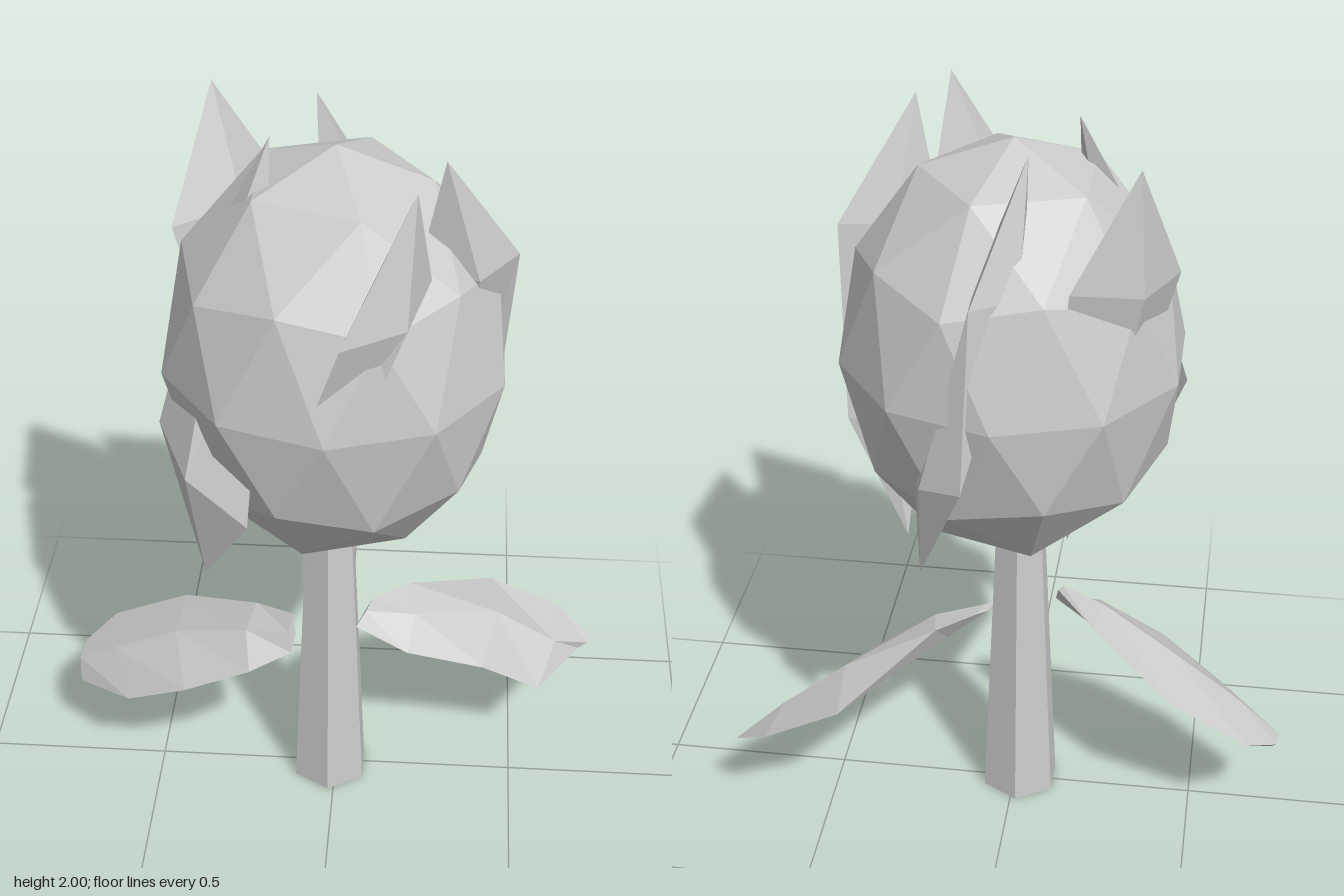
import * as THREE from 'three';

const material = new THREE.MeshStandardMaterial({ color: 0xcccccc, flatShading: true });

// Faceted blade through sections [centre, half width vector, half thickness].
// Each section is a four-cornered diamond across the blade's axis.
function blade(sections) {
  const centres = sections.map(([c]) => new THREE.Vector3(...c));
  const rings = sections.map(([, w, t], i) => {
    const axis = centres[Math.min(i + 1, centres.length - 1)].clone()
      .sub(centres[Math.max(i - 1, 0)]);
    const width = new THREE.Vector3(...w);
    const normal = axis.cross(width).setLength(t);
    return [width, normal, width.clone().negate(), normal.clone().negate()]
      .map((p) => p.add(centres[i]));
  });
  const positions = [];
  const tri = (a, b, c) => {
    const triangle = new THREE.Triangle(a, b, c);
    if (triangle.getArea() > 1e-7) for (const p of [a, b, c]) positions.push(p.x, p.y, p.z);
  };
  for (let i = 0; i < rings.length - 1; i++) {
    for (let j = 0; j < 4; j++) {
      const k = (j + 1) % 4;
      tri(rings[i][j], rings[i][k], rings[i + 1][k]);
      tri(rings[i][j], rings[i + 1][k], rings[i + 1][j]);
    }
  }
  // End caps
  const [a, b] = [rings[0], rings[rings.length - 1]];
  tri(a[0], a[2], a[1]);
  tri(a[0], a[3], a[2]);
  tri(b[0], b[1], b[2]);
  tri(b[0], b[2], b[3]);
  const geometry = new THREE.BufferGeometry();
  geometry.setAttribute('position', new THREE.Float32BufferAttribute(positions, 3));
  geometry.computeVertexNormals();
  return geometry;
}

export function createModel() {
  const group = new THREE.Group();
  const add = (name, geometry) => {
    const mesh = new THREE.Mesh(geometry, material);
    mesh.name = name;
    group.add(mesh);
    return mesh;
  };

  // Bud: faceted egg with a corner at each pole
  const bud = new THREE.IcosahedronGeometry(1, 1);
  bud.rotateX(-Math.atan((1 + Math.sqrt(5)) / 2));
  bud.rotateY(Math.PI / 2);
  bud.scale(0.44, 0.56, 0.44);
  add('bud', bud).position.y = 1.4;

  // Stem: tapered hexagonal column
  add('stem', new THREE.CylinderGeometry(0.068, 0.11, 0.9, 6)).position.set(-0.015, 0.45, 0.01);

  // Petals: pointed at both ends, partly sunk into the bud
  const none = [0, 0, 0];
  const petals = {
    frontPetal: [
      [[-0.06, 0.9, 0.12], none, 0],
      [[-0.01, 1.22, 0.34], [0.1, 0, -0.04], 0.05],
      [[0.135, 1.7, 0.33], [0.1, 0.04, -0.1], 0.07],
      [[0.2, 2, 0.31], none, 0],
    ],
    leftSidePetal: [
      [[0.26, 0.9, -0.13], none, 0],
      [[0.32, 1.22, -0.07], [0.09, 0, -0.03], 0.04],
      [[0.32, 1.7, 0.07], [0.12, 0, -0.05], 0.07],
      [[0.26, 2, 0.15], none, 0],
    ],
    backPetal: [
      [[0.2, 0.9, -0.29], none, 0],
      [[0.14, 1.2, -0.36], [-0.07, 0.03, -0.08], 0.05],
      [[0, 1.7, -0.29], [0.05, 0, -0.11], 0.06],
      [[-0.06, 2, -0.2], none, 0],
    ],
    backRightPetal: [
      [[-0.15, 0.9, -0.1], none, 0],
      [[-0.22, 1.3, -0.17], [0.09, 0, -0.09], 0.05],
      [[-0.29, 1.7, -0.21], [0.12, 0.02, -0.12], 0.07],
      [[-0.32, 2, -0.25], none, 0],
    ],
    rightSidePetal: [
      [[-0.31, 0.9, 0.28], none, 0],
      [[-0.31, 1.19, 0.26], [0.12, -0.07, 0.12], 0.06],
      [[-0.23, 1.7, 0.11], [0.08, 0, 0.05], 0.05],
      [[-0.15, 2, 0.05], none, 0],
    ],
  };
  for (const [name, sections] of Object.entries(petals)) add(name, blade(sections));

  // Leaves: broad drooping blades on either side of the stem
  add('leftLeaf', blade([
    [[0.08, 0.575, 0.02], [0.02, 0.01, -0.05], 0.01],
    [[0.2, 0.53, -0.02], [0, 0.05, -0.09], 0.035],
    [[0.42, 0.42, -0.15], [0.01, 0.02, -0.175], 0.05],
    [[0.6, 0.31, -0.185], [0.03, 0.035, -0.145], 0.035],
    [[0.71, 0.275, -0.25], [0.02, 0.005, -0.02], 0.01],
  ]));
  add('rightLeaf', blade([
    [[-0.11, 0.575, 0.12], [0, 0.035, -0.04], 0.02],
    [[-0.22, 0.53, 0.09], [0, 0.03, -0.11], 0.035],
    [[-0.42, 0.43, 0.005], [-0.02, 0.02, -0.18], 0.05],
    [[-0.61, 0.33, -0.04], [-0.04, 0.02, -0.16], 0.04],
    [[-0.73, 0.275, -0.075], [0, 0.03, -0.055], 0.02],
  ]));

  return group;
}
